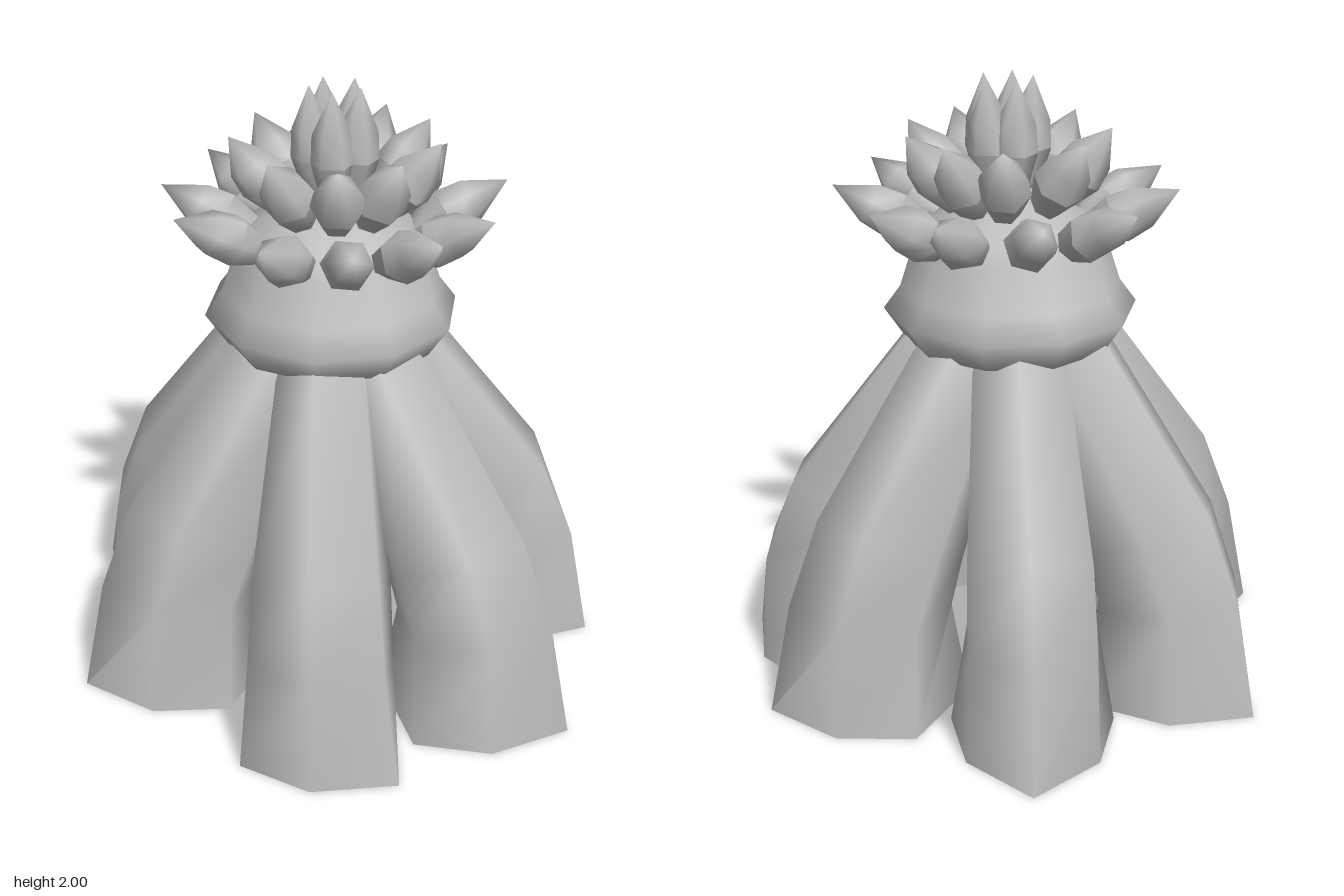
import * as THREE from 'three';
import { toCreasedNormals } from 'three/addons/utils/BufferGeometryUtils.js';

const stone = new THREE.MeshStandardMaterial({ color: 0xbcbcbc, side: THREE.DoubleSide });
stone.name = 'paleGrey';

function lathe(points, sides, crease) {
  const profile = points.map(([r, y]) => new THREE.Vector2(r, y));
  return toCreasedNormals(new THREE.LatheGeometry(profile, sides), crease);
}

// Leg cross-sections from foot to root: height, reach, long half-axis,
// outer and inner corner offsets, outer and inner half-widths, tilt
const RINGS = [
  [0, 1, 0.33, 0.14, 0.11, 0.21, 0.265, 0],
  [0.35, 0.98, 0.265, 0.13, 0.12, 0.2, 0.21, 0.12],
  [0.56, 0.84, 0.235, 0.12, 0.12, 0.195, 0.195, 0.45],
  [1.08, 0.33, 0.165, 0.08, 0.08, 0.15, 0.15, 0.5],
  [1.24, 0.12, 0.12, 0.06, 0.06, 0.11, 0.11, 0.4],
];

// Hollow six-sided leg, with its sharpest foot corner pointing to (ax, az)
function legGeometry(cx, cz, ax, az) {
  const reach = Math.hypot(cx, cz);
  const rad = [cx / reach, cz / reach];
  const len = Math.hypot(ax - cx, az - cz);
  const d = [(ax - cx) / len, (az - cz) / len];
  const pos = [], index = [];
  RINGS.forEach(([y, f, a, p, pi, q, qi, tilt], j) => {
    const corners = [[a, 0], [p, q], [-pi, qi], [-a, 0], [-pi, -qi], [p, -q]];
    corners.forEach(([u, v], i) => {
      const ox = d[0] * u - d[1] * v, oz = d[1] * u + d[0] * v;
      pos.push(cx * f + ox, y + tilt * (ox * rad[0] + oz * rad[1]), cz * f + oz);
      if (j < RINGS.length - 1) {
        const k = j * 6 + i, n = j * 6 + (i + 1) % 6;
        index.push(k, k + 6, n, n, k + 6, n + 6);
      }
    });
  });
  const g = new THREE.BufferGeometry();
  g.setAttribute('position', new THREE.Float32BufferAttribute(pos, 3));
  g.setIndex(index);
  return toCreasedNormals(g, 1.4);
}

export function createModel() {
  const model = new THREE.Group();
  model.name = 'crownedLegs';
  const add = (parent, geometry, name) => {
    const mesh = new THREE.Mesh(geometry, stone);
    mesh.name = name;
    parent.add(mesh);
    return mesh;
  };

  // Legs: foot centre x, z and sharp corner x, z
  const legs = new THREE.Group();
  legs.name = 'legs';
  model.add(legs);
  [
    [0.20, -0.62, 0.33, -0.92],
    [-0.35, -0.51, -0.51, -0.80],
    [-0.58, 0.01, -0.90, -0.06],
    [-0.34, 0.58, -0.23, 0.88],
    [0.19, 0.66, 0.39, 0.91],
    [0.60, 0.20, 0.77, 0.46],
    [0.60, -0.20, 0.89, -0.14],
  ].forEach((f) => add(legs, legGeometry(...f), 'leg'));

  // Domed cap with a softly bulging rim
  const cap = add(model, lathe([
    [0, 1.12], [0.28, 1.12], [0.345, 1.14], [0.415, 1.245], [0.36, 1.32],
    [0.315, 1.46], [0.265, 1.54], [0.14, 1.61], [0, 1.64],
  ], 10, 1.8), 'cap');
  cap.position.set(0.01, 0, 0);

  // Crown of pointed buds: unit-high six-sided bud, scaled per tier
  const bud = lathe([[0, 0], [0.6, 0.1], [1, 0.4], [0.87, 0.64], [0, 1]], 6, 1.15);
  const UP = new THREE.Vector3(0, 1, 0);
  // base radius, base height, tip radius, tip height, half-width, angles in degrees
  const tiers = [
    ['outerBud', 0.23, 1.48, 0.555, 1.655, 0.083,
      [-112, -78, -45, -19, 20, 58, 84, 113, 142, 181, 212]],
    ['middleBud', 0.15, 1.58, 0.335, 1.835, 0.086,
      [-113, -65, -32, 2, 42, 82, 117, 156, 205]],
    ['innerBud', 0.06, 1.62, 0.085, 2.0, 0.073, [-90, -18, 54, 126, 198]],
  ];
  const crown = new THREE.Group();
  crown.name = 'crown';
  crown.position.set(0.02, 0, 0.01);
  model.add(crown);
  for (const [name, r0, y0, r1, y1, w, angles] of tiers) {
    for (const deg of angles) {
      const t = THREE.MathUtils.degToRad(deg), c = Math.cos(t), s = Math.sin(t);
      const base = new THREE.Vector3(r0 * c, y0, r0 * s);
      const axis = new THREE.Vector3(r1 * c, y1, r1 * s).sub(base);
      const mesh = add(crown, bud, name);
      mesh.position.copy(base);
      mesh.scale.set(w, axis.length(), w);
      mesh.quaternion.setFromUnitVectors(UP, axis.normalize());
    }
  }
  return model;
}
